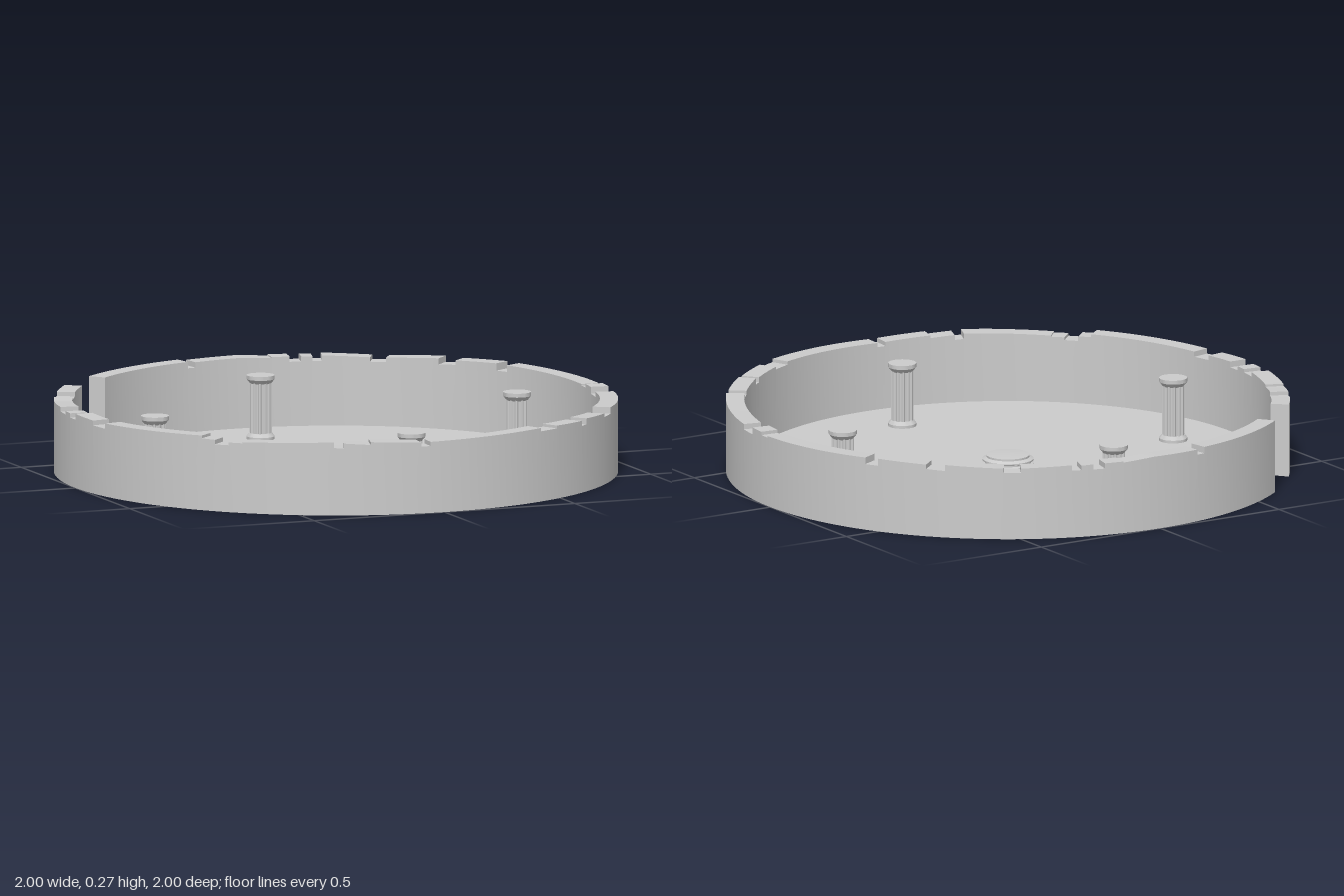
import * as THREE from 'three';
import { toCreasedNormals, mergeGeometries } from 'three/addons/utils/BufferGeometryUtils.js';

const FLOOR = 0.012, WALL_OUT = 1, WALL_IN = 0.935;
const mat = new THREE.MeshStandardMaterial({ color: 0xcccccc });
const matDouble = new THREE.MeshStandardMaterial({ color: 0xcccccc, side: THREE.DoubleSide });

function add(parent, name, geometry, material = mat) {
  const mesh = new THREE.Mesh(geometry, material);
  mesh.name = name;
  parent.add(mesh);
  return mesh;
}

const lathe = (points, sides) =>
  toCreasedNormals(new THREE.LatheGeometry(points.map(([r, y]) => new THREE.Vector2(r, y)), sides), 0.5);

// Broken ring wall: each block is [start angle in degrees, height at start, height at end].
// Angles run from +x towards +z; the opening lies between the last end and the first start.
const BLOCKS = [
  [231.5, 0.262, 0.266], [258.5, 0.243, 0.243], [260.5, 0.262, 0.265], [271.5, 0.265, 0.258],
  [278.5, 0.262, 0.262], [282.5, 0.243, 0.243], [285, 0.262, 0.26], [287.5, 0.244, 0.244],
  [289.5, 0.264, 0.258], [300, 0.242, 0.242], [303.5, 0.258, 0.265], [315.5, 0.243, 0.246],
  [319.5, 0.262, 0.266], [330, 0.24, 0.24], [333, 0.264, 0.256], [361, 0.25, 0.25],
  [363.5, 0.262, 0.262], [367.5, 0.237, 0.237], [372, 0.256, 0.265], [396, 0.242, 0.242],
  [400.5, 0.255, 0.262], [410, 0.24, 0.24], [412, 0.258, 0.262], [421, 0.252, 0.252],
  [426, 0.264, 0.255], [453, 0.24, 0.24], [455, 0.255, 0.262], [465.5, 0.252, 0.258],
  [471, 0.24, 0.242], [473, 0.262, 0.26], [479, 0.26, 0.254], [492, 0.25, 0.25],
  [495, 0.24, 0.24], [498, 0.256, 0.258], [501, 0.268, 0.262], [527.5, 0.243, 0.245],
  [532, 0.262, 0.266], [540, 0.245, 0.245], [543, 0.26, 0.26], [546, 0.248, 0.248],
  [550, 0.264, 0.258], [560, 0.25, 0.256], [566, 0.243, 0.245], [571, 0.26, 0.264],
];
const WALL_END = 578.5;

function wallGeometry() {
  const columns = [];
  BLOCKS.forEach(([start, h0, h1], i) => {
    const end = i + 1 < BLOCKS.length ? BLOCKS[i + 1][0] : WALL_END;
    const steps = Math.ceil((end - start) / 2);
    for (let s = 0; s <= steps; s++) {
      const t = s / steps;
      columns.push({ angle: start + (end - start) * t, height: h0 + (h1 - h0) * t });
    }
  });
  // Cross-section: outer foot, outer top, inner top, inner foot; the underside is open
  const sections = columns.map(({ angle, height }) => {
    const a = THREE.MathUtils.degToRad(angle);
    return [[WALL_OUT, 0], [WALL_OUT, height], [WALL_IN, height], [WALL_IN, 0.004]]
      .map(([r, y]) => [r * Math.cos(a), y, r * Math.sin(a)]);
  });
  const positions = [];
  const quad = (a, b, c, d) => positions.push(...a, ...b, ...c, ...a, ...c, ...d);
  for (let i = 0; i + 1 < sections.length; i++) {
    const p = sections[i], q = sections[i + 1];
    const step = columns[i].angle === columns[i + 1].angle;
    for (let k = 0; k < 3; k++) {
      if (step && k !== 1) continue; // a height step only needs its riser
      quad(p[k], p[k + 1], q[k + 1], q[k]);
    }
  }
  // Ends beside the opening
  const first = sections[0], last = sections[sections.length - 1];
  quad(first[0], first[3], first[2], first[1]);
  quad(last[0], last[1], last[2], last[3]);
  const g = new THREE.BufferGeometry();
  g.setAttribute('position', new THREE.Float32BufferAttribute(positions, 3));
  g.computeVertexNormals();
  return toCreasedNormals(g, 0.3);
}

// Round shaft with grooves cut along it
function flutedShaft(radius, height, flutes) {
  const shape = new THREE.Shape();
  const n = flutes * 4;
  for (let i = 0; i < n; i++) {
    const a = (i / n) * Math.PI * 2;
    const r = i % 4 < 2 ? radius : radius * 0.86;
    shape[i ? 'lineTo' : 'moveTo'](r * Math.cos(a), r * Math.sin(a));
  }
  const g = new THREE.ExtrudeGeometry(shape, { depth: height, bevelEnabled: false });
  return g.rotateX(-Math.PI / 2);
}

function pillar() {
  const group = new THREE.Group();
  group.name = 'pillar';
  add(group, 'pillarBase', lathe([[0, 0], [0.05, 0], [0.05, 0.01], [0.041, 0.022], [0, 0.022]], 32));
  add(group, 'pillarShaft', flutedShaft(0.04, 0.185, 12)).position.y = 0.02;
  add(group, 'pillarCapital',
    lathe([[0, 0.2], [0.038, 0.2], [0.05, 0.215], [0.05, 0.229], [0, 0.229]], 32));
  return group;
}

export function createModel() {
  const model = new THREE.Group();
  model.name = 'roundArena';

  add(model, 'ruinedWall', wallGeometry(), matDouble);

  // Thin floor disc, slightly raised off the ground
  const floor = new THREE.CylinderGeometry(0.95, 0.95, FLOOR - 0.004, 128);
  add(model, 'floor', floor).position.y = (FLOOR + 0.004) / 2;

  // Stepped pedestal in the middle, reaching through the floor
  add(model, 'pedestal', lathe([
    [0, 0], [0.09, 0], [0.092, 0.026], [0.083, 0.029], [0.083, 0.034], [0.091, 0.037],
    [0.091, 0.042], [0.077, 0.049], [0.077, 0.056], [0.05, 0.058], [0, 0.058],
  ], 48));

  // Four pillars around the pedestal
  for (let i = 0; i < 4; i++) {
    const a = (i * Math.PI) / 2;
    const p = pillar();
    p.position.set(0.695 * Math.cos(a), FLOOR, 0.695 * Math.sin(a));
    model.add(p);
  }
  return model;
}
